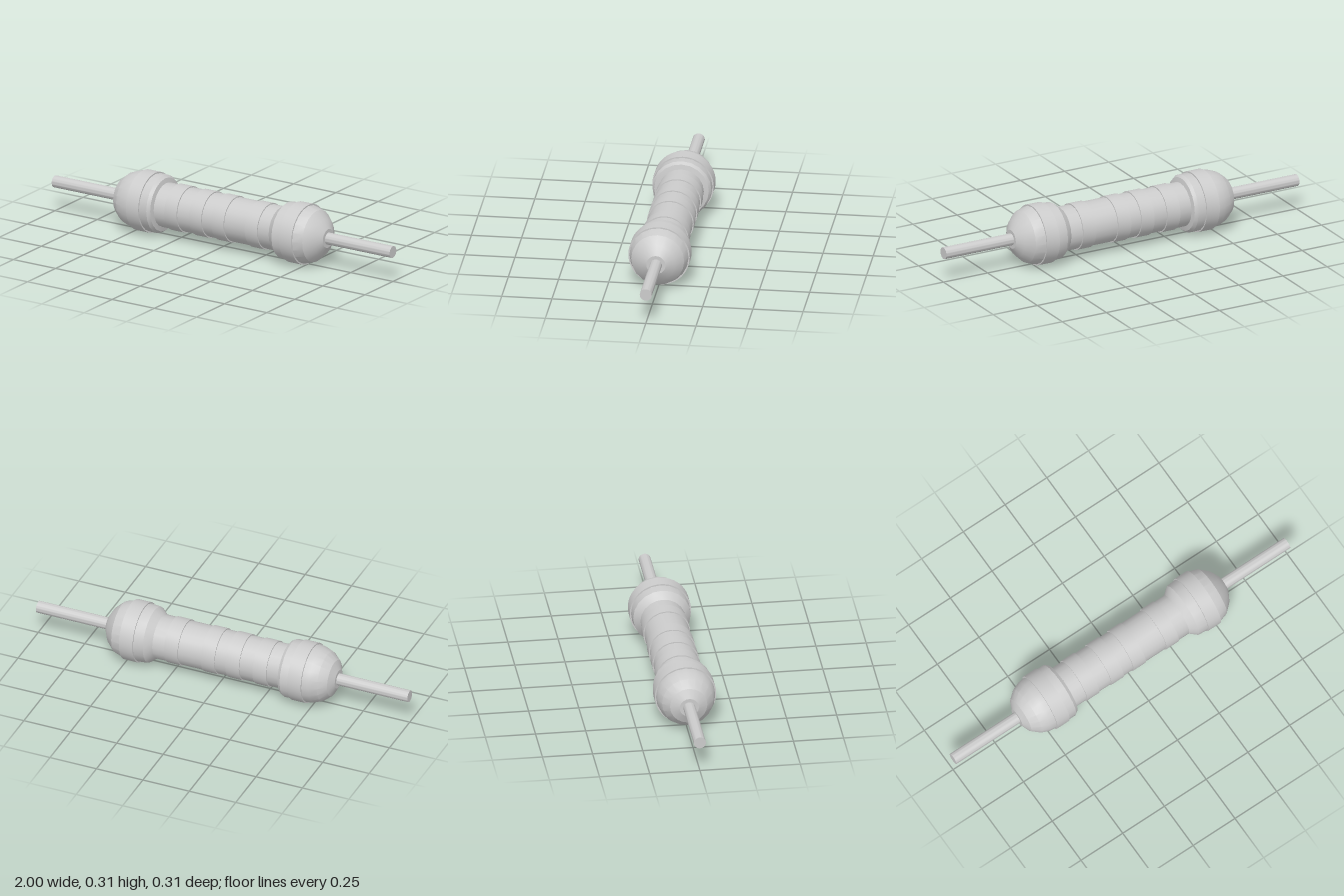
import * as THREE from 'three';
import { toCreasedNormals } from 'three/addons/utils/BufferGeometryUtils.js';

export function createModel() {
  const group = new THREE.Group();
  group.name = 'resistor';
  const axisY = 0.153;
  const material = new THREE.MeshStandardMaterial({ color: 0xcccccc });

  // Lays a geometry built around y along the x axis
  function add(name, geometry, x = 0) {
    geometry.rotateZ(-Math.PI / 2);
    const mesh = new THREE.Mesh(toCreasedNormals(geometry, 0.4), material);
    mesh.name = name;
    mesh.position.set(x, axisY, 0);
    group.add(mesh);
  }

  // Ceramic body with two bulging ends, as [x, radius]
  const profile = [
    [-0.617, 0], [-0.617, 0.048], [-0.595, 0.093], [-0.555, 0.127], [-0.515, 0.142], [-0.48, 0.147],
    [-0.363, 0.147], [-0.347, 0.136], [-0.342, 0.112],
    [0.338, 0.112], [0.375, 0.143], [0.425, 0.147], [0.5, 0.147],
    [0.55, 0.132], [0.592, 0.093], [0.617, 0.048], [0.617, 0],
  ].map(([x, r]) => new THREE.Vector2(r, x));
  add('body', new THREE.LatheGeometry(profile, 20));

  // Lead wires at both ends
  for (const side of [-1, 1]) {
    add(side < 0 ? 'rightLead' : 'leftLead', new THREE.CylinderGeometry(0.03, 0.03, 0.42, 32), side * 0.79);
  }

  // Code bands: wide ones on the bulges, slim ones on the waist
  const bands = [
    [-0.443, 0.153], [-0.24, 0.117], [-0.094, 0.117],
    [0.038, 0.117], [0.236, 0.117], [0.463, 0.153],
  ];
  bands.forEach(([x, r], i) => {
    add(`band${i + 1}`, new THREE.CylinderGeometry(r, r, 0.073, 48), x);
  });

  return group;
}
